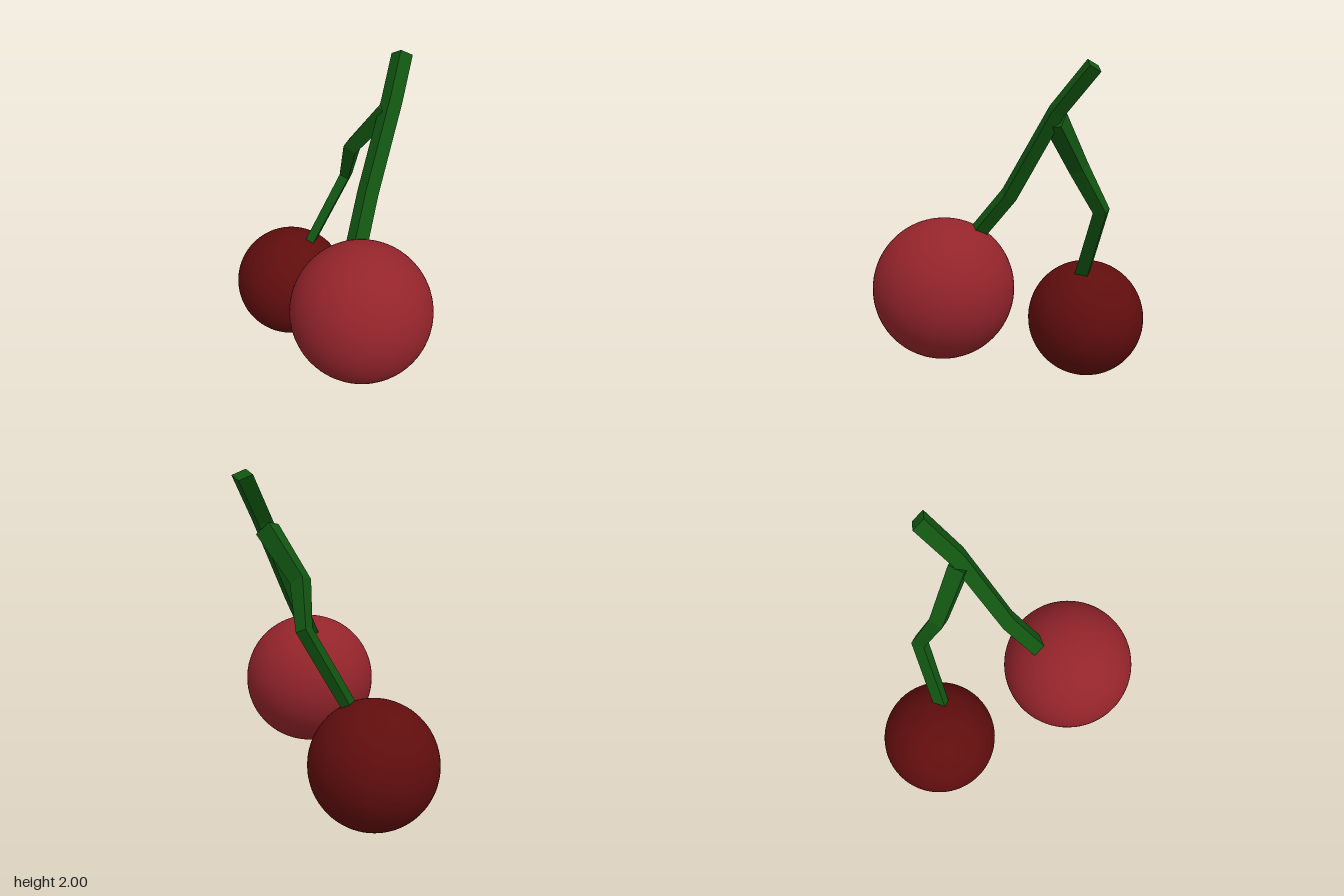
import * as THREE from 'three';

// Sweeps a four-sided section along a bent path; each point is [x, y, z, halfU, halfV].
// U follows the given axis, phase turns the corners around the path.
function sweepStem(points, axis, phase) {
  const path = points.map(p => new THREE.Vector3(p[0], p[1], p[2]));
  const last = path.length - 1;
  const rings = path.map((p, i) => {
    const tangent = new THREE.Vector3();
    if (i > 0) tangent.add(p.clone().sub(path[i - 1]).normalize());
    if (i < last) tangent.add(path[i + 1].clone().sub(p).normalize());
    tangent.normalize();
    const u = axis.clone().addScaledVector(tangent, -axis.dot(tangent)).normalize();
    const v = tangent.clone().cross(u);
    return [0, 1, 2, 3].map(k => {
      const a = phase + k * Math.PI / 2;
      return p.clone()
        .addScaledVector(u, Math.cos(a) * points[i][3])
        .addScaledVector(v, Math.sin(a) * points[i][4]);
    });
  });
  const corners = [];
  const quad = (a, b, c, d) => corners.push(a, b, c, a, c, d);
  for (let i = 0; i < last; i++) {
    for (let k = 0; k < 4; k++) {
      const n = (k + 1) % 4;
      quad(rings[i][k], rings[i][n], rings[i + 1][n], rings[i + 1][k]);
    }
  }
  quad(...rings[0].slice().reverse());
  quad(...rings[last]);
  const geometry = new THREE.BufferGeometry().setFromPoints(corners);
  geometry.computeVertexNormals();
  return geometry;
}

export function createModel() {
  const group = new THREE.Group();
  const add = (name, geometry, material, position = [0, 0, 0]) => {
    const mesh = new THREE.Mesh(geometry, material);
    mesh.name = name;
    mesh.position.set(...position);
    group.add(mesh);
  };
  const red = new THREE.MeshStandardMaterial({ color: 0x94242b });
  const darkRed = new THREE.MeshStandardMaterial({ color: 0x600d0d });
  const green = new THREE.MeshStandardMaterial({ color: 0x115511, flatShading: true });

  // Fruits
  add('frontCherry', new THREE.SphereGeometry(0.419, 64, 40), red, [0.325, 0.68, 0.3]);
  add('backCherry', new THREE.SphereGeometry(0.374, 64, 40), darkRed, [-0.375, 0.375, -0.347]);

  // Main stem, diamond in section
  add('mainStem', sweepStem([
    [0.285, 1.967, -0.6, 0.066, 0.05],
    [0.283, 1.73, -0.393, 0.066, 0.05],
    [0.237, 1.255, -0.09, 0.066, 0.053],
    [0.237, 0.98, 0.15, 0.066, 0.053],
  ], new THREE.Vector3(1, 0, 0), 0), green);

  // Side stem, tapering towards the lower fruit
  add('sideStem', sweepStem([
    [0.26, 1.68, -0.38, 0.07, 0.075],
    [0.03, 1.4, -0.433, 0.062, 0.062],
    [-0.045, 1.15, -0.547, 0.058, 0.045],
    [-0.27, 0.62, -0.335, 0.058, 0.04],
  ], new THREE.Vector3(0, 0, 1), Math.PI / 4), green);

  return group;
}
